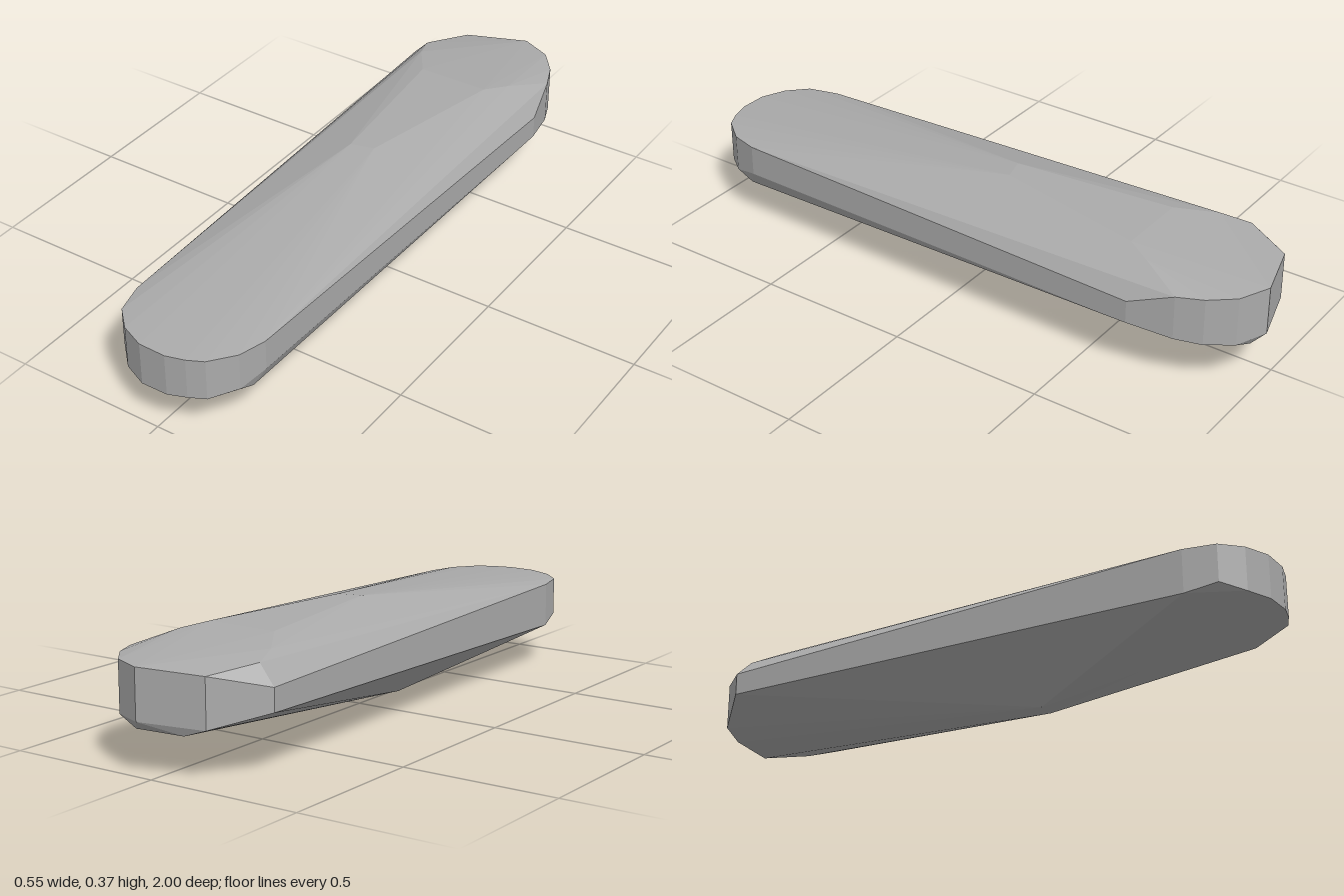
import * as THREE from 'three';
import { ConvexGeometry } from 'three/addons/geometries/ConvexGeometry.js';

export function createModel() {
  const group = new THREE.Group();
  group.name = 'facetedBar';
  const grey = new THREE.MeshStandardMaterial({ color: 0xaaaaaa, flatShading: true });
  grey.name = 'grey';

  const points = [];
  const add = (x, y, z) => points.push(new THREE.Vector3(x, y, z));

  // Rounded ends, upright walls: x, z, bottom y, top y
  const frontWall = [
    [-0.216, 0.80, 0.135, 0.277], [-0.19, 0.90, 0.155, 0.277], [-0.13, 0.96, 0.135, 0.277],
    [-0.05, 0.995, 0.134, 0.277], [0.04, 0.997, 0.137, 0.277], [0.10, 0.98, 0.142, 0.277],
    [0.15, 0.955, 0.142, 0.277], [0.21, 0.88, 0.155, 0.277], [0.235, 0.79, 0.178, 0.277],
  ];
  const backWall = [
    [0.275, -0.66, 0.187, 0.26], [0.243, -0.80, 0.168, 0.311], [0.21, -0.88, 0.16, 0.313],
    [0.15, -0.955, 0.155, 0.314], [0.05, -1, 0.158, 0.314], [-0.15, -0.94, 0.15, 0.303],
    [-0.277, -0.80, 0.19, 0.262],
  ];
  for (const [x, z, low, high] of [...frontWall, ...backWall]) {
    add(x, low, z);
    add(x, high, z);
  }

  // Crown: ridge and rear plateau
  add(-0.05, 0.365, -0.06);
  add(0.025, 0.365, -0.08);
  add(0.125, 0.358, -0.58);
  add(-0.11, 0.357, -0.58);
  add(-0.19, 0.34, -0.70);
  add(-0.22, 0.322, -0.79);
  add(0.17, 0.346, -0.66);

  // Keel and lower edges
  add(-0.015, 0, 0.20);
  add(0.04, 0, 0.20);
  add(0.01, 0.05, 0.56);
  add(0.21, 0.127, 0.82);
  add(0.08, 0.126, -0.965);
  add(-0.08, 0.126, -0.95);

  const body = new THREE.Mesh(new ConvexGeometry(points), grey);
  body.name = 'body';
  group.add(body);
  return group;
}
